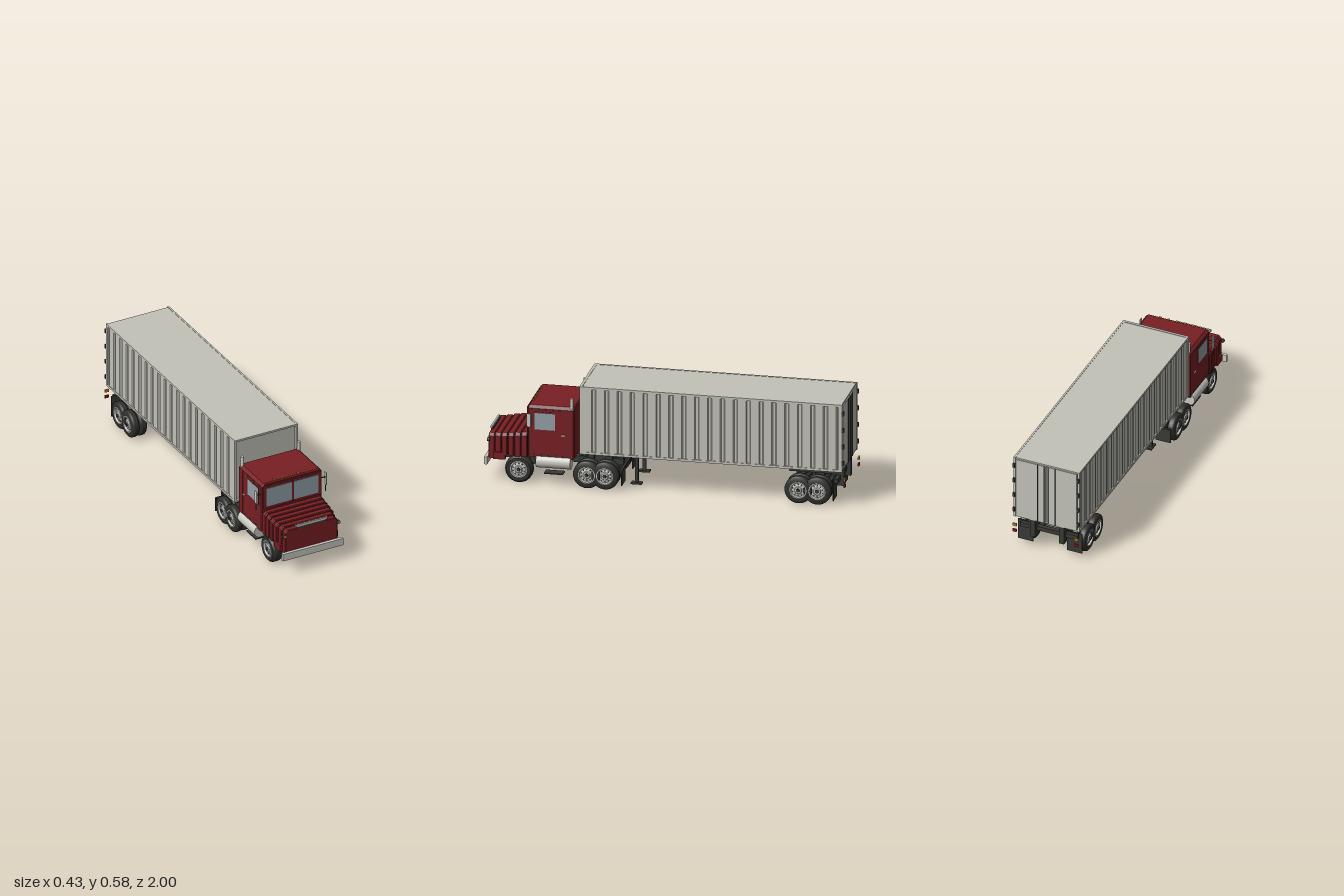
import * as THREE from 'three';
import { toCreasedNormals } from 'three/addons/utils/BufferGeometryUtils.js';

const paint = (name, color) => {
  const m = new THREE.MeshStandardMaterial({ color });
  m.name = name;
  return m;
};

export function createModel() {
  const red = paint('cab red', 0x781f23);
  const grey = paint('trailer grey', 0xc3c2b9);
  const chrome = paint('bright metal', 0xcbcac4);
  const dark = paint('chassis dark', 0x393b37);
  const rubber = paint('tyre rubber', 0x30302d);
  const glass = paint('window glass', 0x93a1a8);
  const amber = paint('amber lamp', 0xc8842a);
  const lampRed = paint('tail lamp red', 0x8c1d18);

  const truck = new THREE.Group();
  truck.name = 'truck';
  const add = (name, geo, mat, parent = truck) => {
    const m = new THREE.Mesh(geo, mat);
    m.name = name;
    parent.add(m);
    return m;
  };
  // box from its limits
  const box = (name, mat, x0, x1, y0, y1, z0, z1) => {
    const m = add(name, new THREE.BoxGeometry(x1 - x0, y1 - y0, z1 - z0), mat);
    m.position.set((x0 + x1) / 2, (y0 + y1) / 2, (z0 + z1) / 2);
    return m;
  };
  const pair = (name, mat, x0, x1, ...rest) => {
    box(name + 'Left', mat, x0, x1, ...rest);
    box(name + 'Right', mat, -x1, -x0, ...rest);
  };
  const cyl = (name, mat, r, len, axis, x, y, z, sides = 20) => {
    const g = new THREE.CylinderGeometry(r, r, len, sides);
    if (axis === 'x') g.rotateZ(Math.PI / 2);
    if (axis === 'z') g.rotateX(Math.PI / 2);
    add(name, g, mat).position.set(x, y, z);
  };
  // upright section with cut top corners, extruded from z0 to z1
  const slab = (name, mat, w, y0, y1, cut, z0, z1, bevel = 0.004) => {
    const a = w - bevel, b = y0 + bevel, t = y1 - bevel;
    const s = new THREE.Shape([[-a, b], [a, b], [a, t - cut], [a - cut, t], [cut - a, t], [-a, t - cut]]
      .map(p => new THREE.Vector2(...p)));
    const g = new THREE.ExtrudeGeometry(s, {
      depth: z1 - z0 - 2 * bevel, bevelEnabled: true, bevelSize: bevel, bevelThickness: bevel, bevelSegments: 1,
    });
    return add(name, g.translate(0, 0, z0 + bevel), mat);
  };

  // ---- trailer body: corrugated walls, made as a plan outline extruded upward
  const side = [];
  const panels = 20, zBack = -0.97, zFront = 0.455, pitch = (zFront - zBack) / panels;
  for (let i = 0; i < panels; i++) {
    const z = zBack + i * pitch;
    side.push([0.186, z], [0.186, z + 0.014], [0.192, z + 0.02], [0.192, z + pitch - 0.006]);
  }
  side.push([0.186, zFront]);
  const plan = [...side, ...side.map(([x, z]) => [-x, z]).reverse()].map(([x, z]) => new THREE.Vector2(x, -z));
  const walls = new THREE.ExtrudeGeometry(new THREE.Shape(plan), { depth: 0.37, bevelEnabled: false });
  add('trailerWalls', walls.rotateX(-Math.PI / 2).translate(0, 0.207, 0), grey);
  box('trailerRoof', grey, -0.19, 0.19, 0.574, 0.583, -0.98, 0.466);
  box('trailerFloor', grey, -0.19, 0.19, 0.2, 0.21, -0.98, 0.466);
  pair('topRail', grey, 0.185, 0.195, 0.572, 0.585, -0.982, 0.468);
  pair('bottomRail', grey, 0.185, 0.195, 0.199, 0.212, -0.982, 0.468);
  pair('frontPost', grey, 0.183, 0.195, 0.2, 0.585, 0.448, 0.47);
  pair('rearPost', grey, 0.183, 0.195, 0.2, 0.585, -0.984, -0.962);
  box('frontTopRail', grey, -0.185, 0.185, 0.574, 0.585, 0.455, 0.47);
  box('frontBottomRail', grey, -0.185, 0.185, 0.2, 0.212, 0.455, 0.47);

  // rear doors with locking rods and hinges
  pair('rearDoor', grey, 0.003, 0.18, 0.212, 0.574, -0.986, -0.965);
  box('doorSeam', dark, -0.003, 0.003, 0.212, 0.574, -0.984, -0.966);
  for (const s of [-1, 1]) {
    for (const x of [0.012, 0.052]) cyl('lockRod', dark, 0.003, 0.365, 'y', s * x, 0.393, -0.988, 8);
    for (const y of [0.25, 0.345, 0.44, 0.535]) {
      box('doorHinge', dark, s * 0.19 - 0.007, s * 0.19 + 0.007, y - 0.012, y + 0.012, -0.994, -0.982);
    }
  }

  // trailer bogie, rear mounts, mudflaps and tail lamps
  pair('bogieRail', dark, 0.06, 0.1, 0.155, 0.2, -0.92, -0.67);
  for (const z of [-0.69, -0.795, -0.9]) box('bogieCrossBeam', dark, -0.1, 0.1, 0.165, 0.19, z - 0.01, z + 0.01);
  box('rearCrossBeam', dark, -0.17, 0.17, 0.125, 0.15, -0.955, -0.93);
  pair('rearMount', dark, 0.07, 0.1, 0.09, 0.2, -0.975, -0.915);
  pair('trailerMudflap', dark, 0.1, 0.19, 0.03, 0.155, -0.935, -0.929);
  pair('amberTailLamp', amber, 0.17, 0.195, 0.148, 0.164, -1, -0.992);
  pair('redTailLamp', lampRed, 0.17, 0.195, 0.112, 0.128, -1, -0.992);

  // landing legs
  pair('landingLeg', dark, 0.092, 0.112, 0.02, 0.2, 0.163, 0.181);
  pair('landingFoot', dark, 0.085, 0.119, 0.02, 0.029, 0.142, 0.202);
  box('landingBrace', dark, -0.1, 0.1, 0.15, 0.162, 0.168, 0.176);

  // ---- tractor chassis
  pair('frameRail', dark, 0.055, 0.075, 0.11, 0.145, 0.25, 0.96);
  for (const z of [0.27, 0.38, 0.5, 0.65, 0.9]) box('frameCrossBeam', dark, -0.06, 0.06, 0.115, 0.14, z - 0.01, z + 0.01);
  box('couplingPlate', dark, -0.1, 0.1, 0.17, 0.183, 0.305, 0.445);
  box('couplingBase', dark, -0.075, 0.075, 0.143, 0.172, 0.33, 0.41);
  pair('tractorMudflap', dark, 0.1, 0.19, 0.03, 0.112, 0.236, 0.241);
  box('mudflapBar', dark, -0.19, 0.19, 0.105, 0.115, 0.238, 0.25);
  pair('step', dark, 0.12, 0.175, 0.064, 0.07, 0.565, 0.67);
  cyl('driveShaft', dark, 0.012, 0.4, 'z', 0, 0.095, 0.53, 10);
  for (const s of [-1, 1]) {
    cyl('fuelTank', chrome, 0.037, 0.19, 'z', s * 0.168, 0.136, 0.615, 28);
    cyl('exhaustStack', chrome, 0.0095, 0.345, 'y', s * 0.173, 0.333, 0.517, 16);
  }

  // ---- wheels: outward side is local +y before turning
  const lathe = (pts, n = 32) =>
    toCreasedNormals(new THREE.LatheGeometry(pts.map(p => new THREE.Vector2(...p)), n), 0.7);
  const tyre = (w) => lathe([[0.046, -w], [0.066, -w], [0.074, -w * 0.75], [0.077, -w * 0.45],
    [0.077, w * 0.45], [0.074, w * 0.75], [0.066, w], [0.046, w], [0.044, w * 0.6], [0.044, -w * 0.6], [0.046, -w]]);
  const rim = lathe([[0.045, -0.014], [0.047, 0.014], [0.042, 0.015], [0.038, 0.004], [0.022, 0.008],
    [0.018, 0.014], [0, 0.014]]);
  const rimBack = new THREE.CylinderGeometry(0.045, 0.045, 0.004, 28);
  const hub = new THREE.CylinderGeometry(0.009, 0.011, 0.008, 12);
  const hole = new THREE.CylinderGeometry(0.0042, 0.0042, 0.003, 8);
  const wheel = (s, centre, z, width, name) => {
    const g = new THREE.Group();
    g.name = name;
    add('tyre', tyre(width / 2), rubber, g);
    const out = width / 2 - 0.014;
    add('rim', rim, chrome, g).position.y = out;
    add('rimBack', rimBack, dark, g).position.y = out - 0.014;
    add('hub', hub, dark, g).position.y = out + 0.017;
    for (let i = 0; i < 10; i++) {
      const a = i * Math.PI / 5;
      add('rimHole', hole, dark, g).position.set(0.031 * Math.cos(a), out + 0.006, 0.031 * Math.sin(a));
    }
    g.rotation.z = -s * Math.PI / 2;
    g.position.set(s * centre, 0.08, z);
    truck.add(g);
  };
  for (const s of [-1, 1]) {
    wheel(s, 0.151, 0.81, 0.058, 'frontWheel');
    for (const z of [0.43, 0.33, -0.74, -0.845]) {
      wheel(s, 0.177, z, 0.041, 'outerWheel');
      wheel(s, 0.131, z, 0.041, 'innerWheel');
    }
  }
  for (const z of [0.43, 0.33, -0.74, -0.845]) {
    cyl('axle', dark, 0.013, 0.3, 'x', 0, 0.08, z, 12);
    pair('springBlock', dark, 0.065, 0.09, 0.08, 0.16, z - 0.02, z + 0.02);
  }
  box('frontAxle', dark, -0.13, 0.13, 0.066, 0.09, 0.797, 0.823);
  pair('frontSpring', dark, 0.06, 0.08, 0.085, 0.115, 0.74, 0.88);

  // ---- cab
  slab('cabBody', red, 0.187, 0.16, 0.455, 0.012, 0.5, 0.757, 0.006);
  box('windscreenFrame', red, -0.178, 0.178, 0.3, 0.442, 0.75, 0.764);
  pair('windscreen', glass, 0.005, 0.16, 0.316, 0.427, 0.76, 0.767);
  box('windscreenPost', red, -0.005, 0.005, 0.312, 0.432, 0.76, 0.771);
  for (const x of [-0.1, -0.05, 0, 0.05, 0.1]) {
    box('roofLamp', amber, x - 0.007, x + 0.007, 0.453, 0.461, 0.738, 0.75);
  }
  // doors: window, surrounding seam and handle
  pair('sideWindow', glass, 0.183, 0.1895, 0.32, 0.414, 0.607, 0.72);
  pair('windowFrame', red, 0.183, 0.189, 0.313, 0.421, 0.6, 0.727);
  for (const z of [0.545, 0.735]) pair('doorSeam', dark, 0.184, 0.1878, 0.175, 0.432, z - 0.0015, z + 0.0015);
  for (const y of [0.175, 0.432]) pair('doorSeam', dark, 0.184, 0.1878, y - 0.0015, y + 0.0015, 0.545, 0.735);
  pair('doorHandle', chrome, 0.186, 0.193, 0.291, 0.298, 0.553, 0.572);
  // mirrors
  pair('mirrorArm', dark, 0.185, 0.215, 0.387, 0.392, 0.743, 0.748);
  pair('mirror', chrome, 0.212, 0.217, 0.342, 0.417, 0.735, 0.757);
  pair('mirrorRod', dark, 0.213, 0.216, 0.3, 0.342, 0.744, 0.748);

  // ---- bonnet: stepped bands that grow toward the cab
  const bands = 6;
  for (let i = 0; i < bands; i++) {
    const z1 = 0.98 - i * 0.037;
    const w = [0.162, 0.167, 0.177, 0.18, 0.182, 0.184][i];
    const top = 0.27 + i * 0.0045;
    slab('bonnetBand', red, w, i < 2 ? 0.13 : 0.155, top, 0.014, z1 - 0.034, z1);
  }
  slab('bonnetCore', red, 0.157, 0.157, 0.264, 0.014, 0.75, 0.97);
  pair('frontFender', red, 0.157, 0.178, 0.13, 0.17, 0.885, 0.95);
  box('bonnetTrim', chrome, -0.098, 0.098, 0.277, 0.289, 0.972, 0.982);
  box('bonnetTrimBase', dark, -0.09, 0.09, 0.266, 0.278, 0.968, 0.98);
  for (const s of [-1, 1]) {
    cyl('headlampRing', dark, 0.0105, 0.012, 'z', s * 0.167, 0.237, 0.978, 20);
    cyl('headlamp', amber, 0.0085, 0.014, 'z', s * 0.167, 0.237, 0.979, 20);
  }
  box('bumper', chrome, -0.187, 0.187, 0.099, 0.141, 0.982, 1);
  pair('bumperBracket', dark, 0.055, 0.075, 0.11, 0.135, 0.95, 0.984);
  return truck;
}
